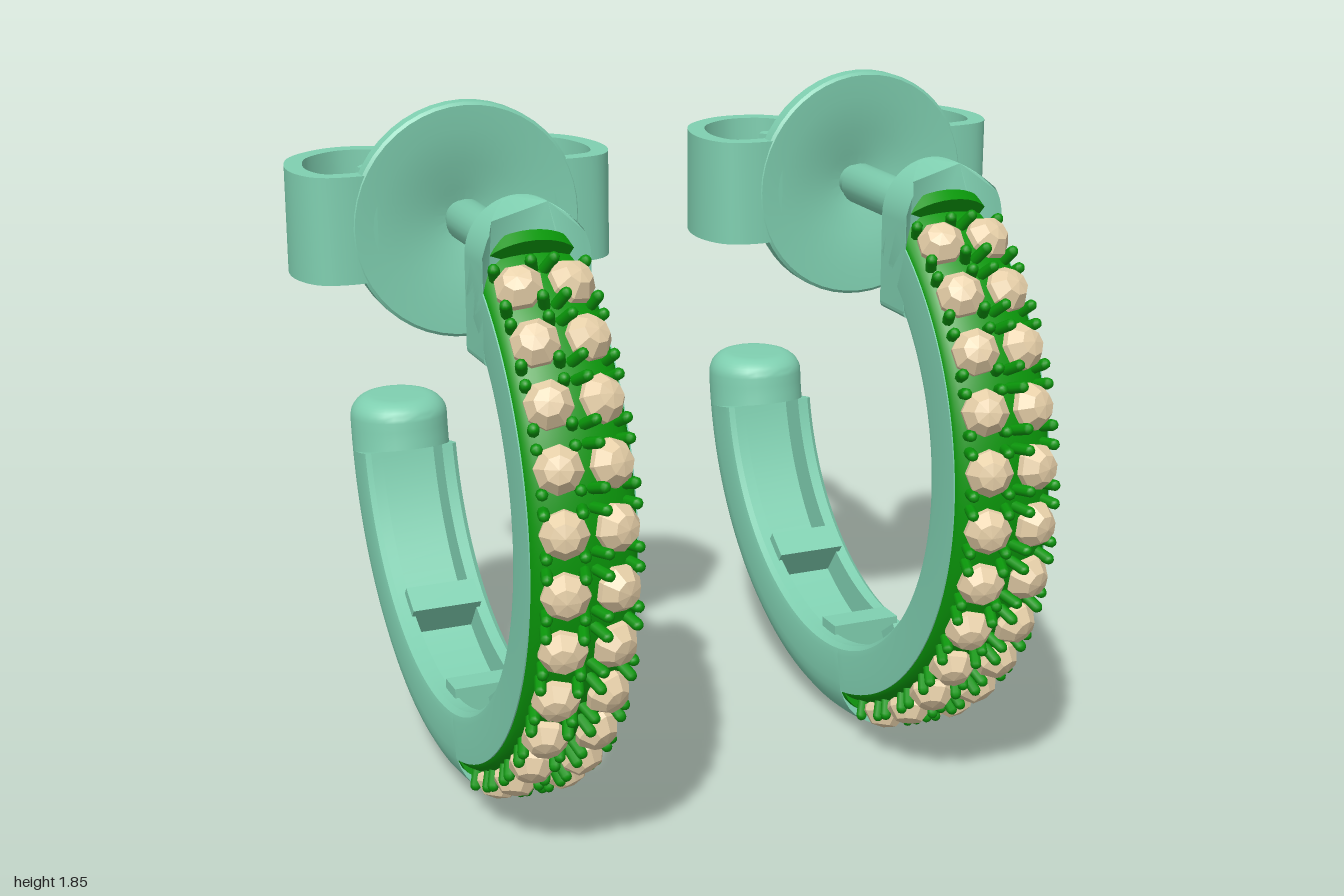
import * as THREE from 'three';
import { toCreasedNormals } from 'three/addons/utils/BufferGeometryUtils.js';

const metal = new THREE.MeshStandardMaterial({ color: 0x7fcfb0 });
const green = new THREE.MeshStandardMaterial({ color: 0x0a960a });
const gemMat = new THREE.MeshStandardMaterial({ color: 0xe6cfa8, flatShading: true });

const CY = 0.88;      // height of the hoop centre
const POST_Y = 1.54;  // height of the post
const rad = THREE.MathUtils.degToRad;

function add(parent, name, geo, mat) {
  const m = new THREE.Mesh(geo, mat);
  m.name = name;
  parent.add(m);
  return m;
}

// Sweeps counter-clockwise sections [x, radius] around the hoop centre, angles falling
function sweep(rings) {
  const pos = [], idx = [], n = rings[0].pts.length;
  for (const { a, pts } of rings) {
    for (const [x, r] of pts) {
      const y = CY + r * Math.sin(a);
      let z = r * Math.cos(a);
      if (y > 1.2 && z < 0.345) z = 0.345; // cut flat behind the post plate
      pos.push(x, y, z);
    }
  }
  for (let i = 0; i < rings.length - 1; i++) {
    for (let j = 0; j < n; j++) {
      const a = i * n + j, b = i * n + (j + 1) % n;
      idx.push(a, b, b + n, a, b + n, a + n);
    }
  }
  const flat = (ring) => ring.pts.map(([x, r]) => new THREE.Vector2(x, r));
  const last = (rings.length - 1) * n;
  for (const [a, b, c] of THREE.ShapeUtils.triangulateShape(flat(rings[0]), [])) idx.push(a, c, b);
  for (const [a, b, c] of THREE.ShapeUtils.triangulateShape(flat(rings[rings.length - 1]), [])) {
    idx.push(last + a, last + b, last + c);
  }
  const g = new THREE.BufferGeometry();
  g.setAttribute('position', new THREE.Float32BufferAttribute(pos, 3));
  g.setIndex(idx);
  return toCreasedNormals(g, 0.6);
}

function arcRings(pts, from, to, step = 2.5) {
  const n = Math.max(1, Math.ceil((from - to) / step));
  return Array.from({ length: n + 1 }, (_, i) => ({ a: rad(from + (to - from) * i / n), pts }));
}

// Points of an arc over the outer side of a section
function arch(w, base, h, n = 16) {
  return Array.from({ length: n + 1 }, (_, i) => {
    const t = Math.PI * i / n;
    return [w * Math.cos(t), base + h * Math.sin(t)];
  });
}

// Section with a channel along its inner side
function channelSection(top) {
  const half = [[0.09, 0.72], [0.09, 0.63], [0.122, 0.63], [0.136, 0.642], [0.14, 0.66]];
  return [...half, ...top, ...half.map(([x, r]) => [-x, r]).reverse()];
}

function buildHoop(e) {
  add(e, 'hoopFront', sweep(arcRings(channelSection([[0.14, 0.765], [-0.14, 0.765]]), 60, -78)), metal);
  add(e, 'hoopBack', sweep(arcRings(channelSection(arch(0.14, 0.74, 0.14)), -78, -168)), metal);

  // Solid round end with a softened rim
  const circle = (r) => Array.from({ length: 32 }, (_, i) => {
    const t = Math.PI * 2 * i / 32;
    return [r * Math.cos(t), 0.74 + r * Math.sin(t)];
  });
  const f = 0.06;
  const rings = arcRings(circle(0.14), -168, -180 + f / 0.74 * 180 / Math.PI);
  for (let i = 1; i <= 8; i++) {
    const t = Math.PI / 2 * i / 8;
    rings.push({ a: -Math.PI + f / 0.74 * (1 - Math.sin(t)), pts: circle(0.14 - f * (1 - Math.cos(t))) });
  }
  add(e, 'hoopEnd', sweep(rings), metal);

  // Cross bars inside the channel
  for (const a of [18, -18, -54, -90, -126]) {
    const bar = add(e, 'crossBar', new THREE.BoxGeometry(0.2, 0.13, 0.08), metal);
    bar.position.set(0, CY + 0.667 * Math.sin(rad(a)), 0.667 * Math.cos(rad(a)));
    bar.rotation.x = Math.PI / 2 - rad(a);
  }
}

function buildStones(e) {
  add(e, 'stoneBed', sweep(arcRings(arch(0.139, 0.755, 0.055), 60, -78)), green);
  add(e, 'bedTopLip', sweep(arcRings(arch(0.137, 0.755, 0.1), 60, 57.5)), green);
  add(e, 'bedBottomLip', sweep(arcRings(arch(0.137, 0.755, 0.09), -76.5, -78)), green);

  const gemGeo = new THREE.LatheGeometry(
    [[0, -0.05], [0.061, -0.005], [0.061, 0.012], [0.036, 0.045], [0, 0.052]]
      .map(([x, y]) => new THREE.Vector2(x, y)), 8);
  const prongGeo = new THREE.CapsuleGeometry(0.015, 0.06, 3, 8);
  for (let i = 0; i < 12; i++) {
    const a = rad(50 - 10.8 * i);
    const row = new THREE.Group();
    row.name = 'stoneRow';
    row.position.set(0, CY + 0.815 * Math.sin(a), 0.815 * Math.cos(a));
    row.rotation.x = Math.PI / 2 - a;
    e.add(row);
    for (const s of [-1, 1]) {
      const setting = new THREE.Group();
      setting.name = 'stoneSetting';
      setting.position.x = 0.066 * s;
      setting.rotation.z = -0.3 * s;
      row.add(setting);
      add(setting, 'stone', gemGeo, gemMat).rotation.y = i * 0.9 + s * 0.5;
      for (const px of [-1, 1]) for (const pz of [-1, 1]) {
        add(setting, 'prong', prongGeo, green).position.set(px * 0.046, -0.005, pz * 0.053);
      }
    }
  }
}

function buildPost(e) {
  // Plate with rounded top whose front follows the hoop
  const s = new THREE.Shape();
  s.moveTo(-0.12, 1.30).lineTo(0.12, 1.30).quadraticCurveTo(0.14, 1.30, 0.14, 1.32);
  s.lineTo(0.14, 1.55).absarc(0, 1.55, 0.14, 0, Math.PI, false);
  s.lineTo(-0.14, 1.32).quadraticCurveTo(-0.14, 1.30, -0.12, 1.30);
  const plate = new THREE.ExtrudeGeometry(s, { depth: 0.13, bevelEnabled: false, curveSegments: 20 });
  plate.translate(0, 0, 0.34);
  const p = plate.attributes.position;
  for (let i = 0; i < p.count; i++) {
    const dy = p.getY(i) - CY;
    if (p.getZ(i) > 0.4) p.setZ(i, Math.min(0.47, Math.sqrt(Math.max(0, 0.7744 - dy * dy))));
  }
  plate.deleteAttribute('normal');
  add(e, 'postPlate', toCreasedNormals(plate, 0.6), metal);

  // Post with notches and rounded tip, running backwards
  const profile = [[0, -0.36], [0.056, -0.36], [0.056, 0.06], [0.045, 0.08], [0.04, 0.47], [0.05, 0.485],
    [0.05, 0.61], [0.038, 0.625], [0.038, 0.675], [0.054, 0.69], [0.054, 0.8], [0.045, 0.825], [0.025, 0.84], [0, 0.842]];
  const post = new THREE.LatheGeometry(profile.map(([x, y]) => new THREE.Vector2(x, y)), 24);
  post.rotateX(-Math.PI / 2);
  add(e, 'post', toCreasedNormals(post, 0.6), metal).position.y = POST_Y;
}

function buildClasp(e) {
  const clasp = new THREE.Group();
  clasp.name = 'clasp';
  clasp.position.y = POST_Y;
  e.add(clasp);

  // Dished disc
  const dish = [[0.04, 0.13], [0.1, 0.13], [0.16, 0.12], [0.23, 0.104], [0.3, 0.1], [0.31, 0.092],
    [0.31, 0.056], [0.302, 0.05], [0.24, 0.054], [0.15, 0.068], [0.08, 0.09], [0.04, 0.1], [0.04, 0.13]];
  const disc = new THREE.LatheGeometry(dish.map(([x, y]) => new THREE.Vector2(x, y)).reverse(), 48);
  disc.rotateX(-Math.PI / 2);
  const discMesh = add(clasp, 'claspDisc', toCreasedNormals(disc, 0.6), metal);
  discMesh.material = metal.clone();
  discMesh.material.side = THREE.DoubleSide;

  // Strip curled back towards the post on each side
  const path = new THREE.CatmullRomCurve3([[0.24, 0.077], [0.32, 0.077], [0.375, 0.095], [0.406, 0.16], [0.404, 0.25],
    [0.36, 0.35], [0.25, 0.412], [0.14, 0.385], [0.088, 0.3], [0.105, 0.215], [0.16, 0.17], [0.24, 0.166]]
    .map(([x, y]) => new THREE.Vector3(x, y, 0)));
  const N = 60, w = 0.0235, outer = [], inner = [];
  for (let i = 0; i <= N; i++) {
    const q = path.getPointAt(i / N), t = path.getTangentAt(i / N);
    outer.push(new THREE.Vector2(q.x + t.y * w, q.y - t.x * w));
    inner.push(new THREE.Vector2(q.x - t.y * w, q.y + t.x * w));
  }
  const end = path.getPointAt(1);
  const tip = new THREE.Vector2(end.x + w * 0.8, end.y);
  for (const side of [-1, 1]) {
    const outline = [...outer, tip, ...inner.slice().reverse()].map((v) => new THREE.Vector2(v.x * side, v.y));
    const g = new THREE.ExtrudeGeometry(new THREE.Shape(outline), { depth: 0.28, bevelEnabled: false });
    g.translate(0, 0, -0.14);
    g.rotateX(-Math.PI / 2);
    add(clasp, side > 0 ? 'leftCurl' : 'rightCurl', toCreasedNormals(g, 0.6), metal);
  }
}

export function createModel() {
  const model = new THREE.Group();
  model.name = 'hoopEarrings';
  const earring = new THREE.Group();
  buildHoop(earring);
  buildStones(earring);
  buildPost(earring);
  buildClasp(earring);
  for (const side of [-1, 1]) {
    const e = earring.clone();
    e.name = side > 0 ? 'leftEarring' : 'rightEarring';
    e.position.x = 0.57 * side;
    model.add(e);
  }
  return model;
}
